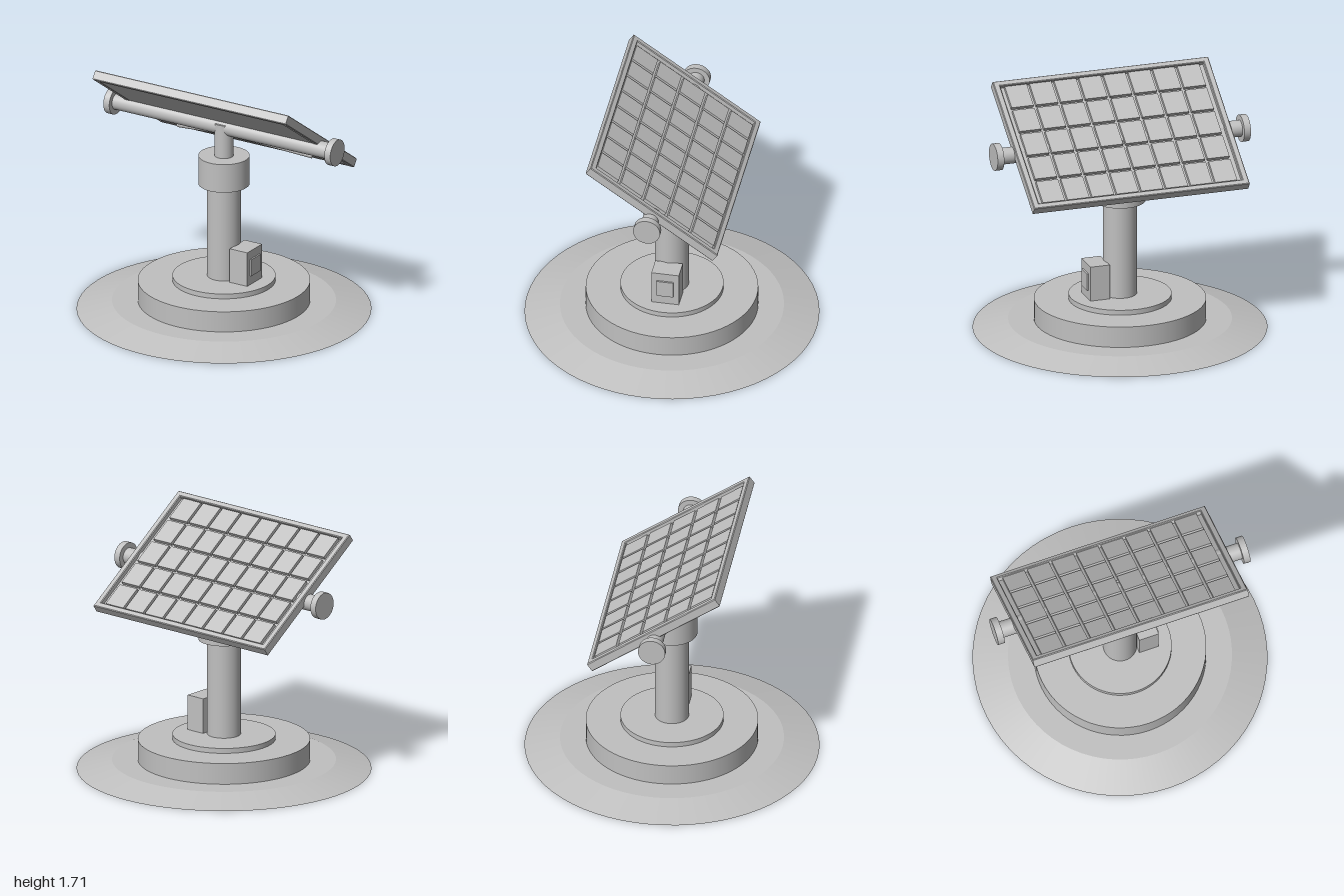
import * as THREE from 'three';

export function createModel() {
  const model = new THREE.Group();
  const grey = new THREE.MeshStandardMaterial({ color: 0xc0c0c0 });
  grey.name = 'light grey';

  const add = (name, geometry, x = 0, y = 0, z = 0, parent = model) => {
    const mesh = new THREE.Mesh(geometry, grey);
    mesh.name = name;
    mesh.position.set(x, y, z);
    parent.add(mesh);
    return mesh;
  };

  // Upright cylinder between two heights
  const column = (name, rBottom, rTop, y0, y1) =>
    add(name, new THREE.CylinderGeometry(rTop, rBottom, y1 - y0, 64), 0, (y0 + y1) / 2, 0);

  // Rod between two points
  const rod = (name, a, b, radius, sides = 48) => {
    const dir = b.clone().sub(a);
    const mid = a.clone().add(b).multiplyScalar(0.5);
    const mesh = add(name, new THREE.CylinderGeometry(radius, radius, dir.length(), sides), mid.x, mid.y, mid.z);
    mesh.quaternion.setFromUnitVectors(new THREE.Vector3(0, 1, 0), dir.normalize());
    return mesh;
  };
  const V = (x, y, z) => new THREE.Vector3(x, y, z);

  // Stepped base, post and swivel
  column('groundSkirt', 1, 0.76, 0, 0.063);
  column('baseDrum', 0.585, 0.585, 0.06, 0.21);
  column('basePlate', 0.35, 0.35, 0.205, 0.245);
  column('post', 0.115, 0.115, 0.24, 0.92);
  column('lowerCollar', 0.174, 0.174, 0.915, 1.0);
  column('upperCollar', 0.174, 0.174, 1.0, 1.12);
  column('neck', 0.065, 0.065, 1.11, 1.36);

  // Control box on the side of the post
  add('controlBox', new THREE.BoxGeometry(0.14, 0.25, 0.19), 0.175, 0.365, 0);
  add('controlBoxCover', new THREE.BoxGeometry(0.02, 0.12, 0.115), 0.247, 0.37, 0);

  // Tilt axle with end caps, and the slanted struts under the panel
  rod('axle', V(-0.87, 1.33, 0), V(0.87, 1.33, 0), 0.057);
  for (const s of [-1, 1]) {
    rod('axleCap', V(s * 0.86, 1.33, 0), V(s * 0.907, 1.33, 0), 0.093);
    rod('strut', V(s * 0.03, 1.27, -0.04), V(s * 0.535, 1.135, -0.275), 0.018, 20);
  }

  // Tilted panel
  const panel = new THREE.Group();
  panel.name = 'panel';
  panel.position.set(0, 1.383, -0.008);
  panel.rotation.x = THREE.MathUtils.degToRad(-35);
  model.add(panel);

  // Bevelled frame
  const rect = (target, w, h) => {
    target.moveTo(-w, -h);
    target.lineTo(w, -h);
    target.lineTo(w, h);
    target.lineTo(-w, h);
    target.closePath();
    return target;
  };
  const outline = rect(new THREE.Shape(), 0.772, 0.535);
  outline.holes.push(rect(new THREE.Path(), 0.73, 0.495));
  const bevel = 0.005;
  const frame = new THREE.ExtrudeGeometry(outline, {
    depth: 0.066 - 2 * bevel, bevelEnabled: true, bevelSegments: 1,
    bevelSize: bevel, bevelThickness: bevel, bevelOffset: -bevel,
  });
  frame.center().rotateX(-Math.PI / 2);
  add('panelFrame', frame, 0, 0, 0, panel);
  add('panelBack', new THREE.BoxGeometry(1.48, 0.032, 1.01), 0, -0.015, 0, panel);

  // Grid of raised cells
  const cell = new THREE.BoxGeometry(0.157, 0.03, 0.178);
  for (let i = 0; i < 8; i++) {
    for (let j = 0; j < 5; j++) {
      add('solarCell', cell, (i - 3.5) * 0.1765, 0.01, (j - 2) * 0.2, panel);
    }
  }

  return model;
}
